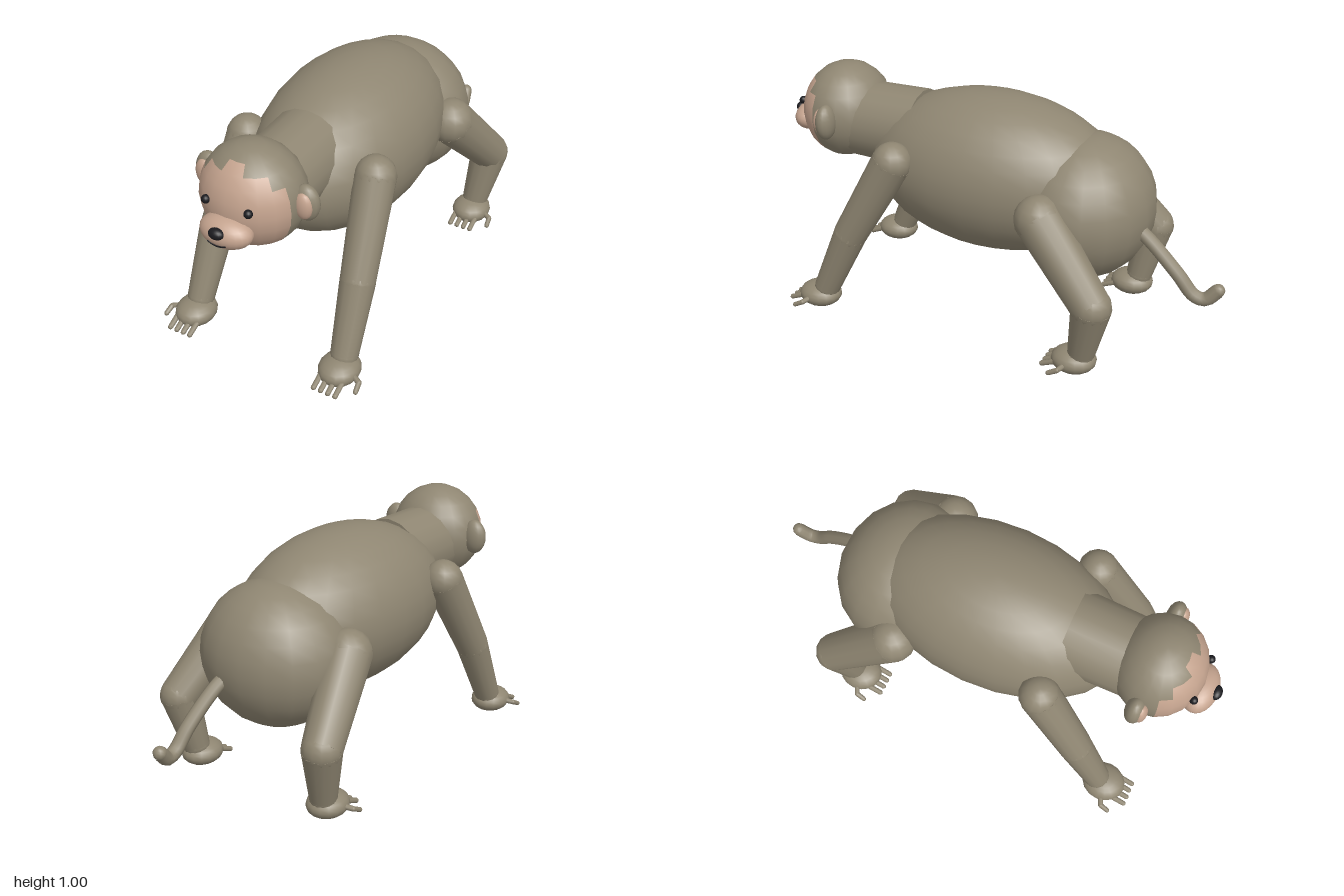
import * as THREE from 'three';

const mat = (name, color) => {
  const m = new THREE.MeshStandardMaterial({ color });
  m.name = name;
  return m;
};

export function createModel() {
  const fur = mat('fur', 0x8f8672);
  const skin = mat('skin', 0xc4a38e);
  const dark = mat('dark', 0x1b1b1f);
  const root = new THREE.Group();
  root.name = 'monkey';
  const V = (p) => new THREE.Vector3(...p);

  const add = (parent, name, geo, material) => {
    const mesh = new THREE.Mesh(geo, material);
    mesh.name = name;
    parent.add(mesh);
    return mesh;
  };
  const ball = (parent, name, pos, radii, material, w = 20, h = 14) => {
    const mesh = add(parent, name, new THREE.SphereGeometry(1, w, h), material);
    mesh.position.set(...pos);
    mesh.scale.set(...radii);
    return mesh;
  };
  // Tapered cylinder from point a to point b
  const limb = (parent, name, a, b, ra, rb, sides = 14) => {
    const d = V(b).sub(V(a));
    const mesh = add(parent, name, new THREE.CylinderGeometry(rb, ra, d.length(), sides), fur);
    mesh.position.copy(V(a)).addScaledVector(d, 0.5);
    mesh.quaternion.setFromUnitVectors(new THREE.Vector3(0, 1, 0), d.normalize());
    return mesh;
  };

  // Trunk
  ball(root, 'torso', [0, 0.652, 0.03], [0.335, 0.334, 0.56], fur, 24, 16);
  ball(root, 'pelvis', [0, 0.572, -0.38], [0.32, 0.3, 0.288], fur, 18, 14);
  limb(root, 'neck', [0, 0.765, 0.36], [0, 0.765, 0.68], 0.172, 0.165, 18);

  // Head: cells at the front of the sphere take the skin colour
  const head = new THREE.Group();
  head.name = 'head';
  root.add(head);
  const skull = ball(head, 'skull', [0, 0.8, 0.735], [0.208, 0.208, 0.187], [fur, skin], 20, 12);
  const halfWidth = [0, 0, 18, 54, 72, 72, 72, 72, 72, 72, 72, 0]; // degrees per row
  const geo = skull.geometry, pos = geo.attributes.position, lists = [[], []];
  for (let i = 0; i < geo.index.count; i += 3) {
    const tri = [0, 1, 2].map((k) => geo.index.getX(i + k));
    const c = new THREE.Vector3();
    tri.forEach((v) => c.add(new THREE.Vector3().fromBufferAttribute(pos, v)));
    c.normalize();
    const row = Math.min(11, Math.floor(Math.acos(c.y) / (Math.PI / 12)));
    const lon = THREE.MathUtils.radToDeg(Math.abs(Math.atan2(c.x, c.z)));
    lists[lon < halfWidth[row] ? 1 : 0].push(...tri);
  }
  geo.setIndex([...lists[0], ...lists[1]]);
  geo.addGroup(0, lists[0].length, 0);
  geo.addGroup(lists[0].length, lists[1].length, 1);

  // Face
  ball(head, 'muzzle', [0, 0.738, 0.915], [0.108, 0.062, 0.072], skin, 24, 16);
  ball(head, 'nose', [0, 0.763, 0.977], [0.032, 0.022, 0.023], dark, 16, 12);
  const smile = new THREE.QuadraticBezierCurve3(
    V([-0.04, 0.72, 0.977]), V([0, 0.704, 0.984]), V([0.04, 0.72, 0.977]));
  add(head, 'mouth', new THREE.TubeGeometry(smile, 12, 0.004, 6), dark);
  for (const s of [1, -1]) {
    ball(head, 'eye', [s * 0.091, 0.836, 0.905], [0.017, 0.017, 0.017], dark, 14, 10);
    ball(head, 'ear', [s * 0.212, 0.811, 0.715], [0.055, 0.076, 0.04], fur, 16, 12);
    ball(head, 'innerEar', [s * 0.215, 0.811, 0.74], [0.038, 0.056, 0.026], skin, 16, 12);
  }

  // Hand or foot with four fingers and a bent thumb
  const paw = (parent, name, s, x, z) => {
    const g = new THREE.Group();
    g.name = name;
    parent.add(g);
    ball(g, 'palm', [s * x, 0.056, z], [0.084, 0.053, 0.094], fur, 16, 12);
    for (const dx of [-0.048, -0.016, 0.016, 0.048]) {
      const tip = [s * x + dx, 0.028, z + 0.118];
      limb(g, 'finger', [s * x + dx, 0.062, z + 0.04], tip, 0.012, 0.011, 8);
      ball(g, 'fingertip', tip, [0.011, 0.011, 0.011], fur, 8, 6);
    }
    const knuckle = [s * (x + 0.103), 0.052, z + 0.03];
    const tip = [s * (x + 0.108), 0.034, z + 0.065];
    limb(g, 'thumb', [s * (x + 0.06), 0.06, z + 0.01], knuckle, 0.012, 0.011, 8);
    ball(g, 'thumbKnuckle', knuckle, [0.011, 0.011, 0.011], fur, 8, 6);
    limb(g, 'thumbEnd', knuckle, tip, 0.011, 0.01, 8);
    ball(g, 'thumbTip', tip, [0.01, 0.01, 0.01], fur, 8, 6);
  };

  // Two-segment limb with rounded joints
  const leg = (name, s, joints, radii, pawName, pawX, pawZ) => {
    const g = new THREE.Group();
    g.name = name;
    root.add(g);
    const pts = joints.map(([x, y, z]) => [s * x, y, z]);
    pts.forEach((p, i) => {
      ball(g, 'joint', p, [radii[i], radii[i], radii[i]], fur, 14, 10);
      if (i) limb(g, i === 1 ? 'upper' : 'lower', pts[i - 1], p, radii[i - 1], radii[i]);
    });
    paw(g, pawName, s, pawX, pawZ);
  };
  for (const s of [1, -1]) {
    leg('arm', s, [[0.293, 0.733, 0.352], [0.33, 0.375, 0.55], [0.342, 0.1, 0.675]],
      [0.084, 0.071, 0.056], 'hand', 0.342, 0.713);
    leg('leg', s, [[0.295, 0.618, -0.3], [0.378, 0.335, -0.562], [0.345, 0.1, -0.515]],
      [0.1, 0.082, 0.057], 'foot', 0.342, -0.483);
  }

  // Tail, hooked up at the end
  const tailCurve = new THREE.CatmullRomCurve3([
    [0.045, 0.55, -0.6], [0.06, 0.5, -0.68], [0.077, 0.385, -0.81],
    [0.08, 0.31, -0.88], [0.075, 0.3, -0.925], [0.064, 0.345, -0.972],
  ].map(V));
  add(root, 'tail', new THREE.TubeGeometry(tailCurve, 28, 0.029, 10), fur);
  ball(root, 'tailTip', [0.064, 0.345, -0.972], [0.028, 0.028, 0.028], fur, 10, 8);

  return root;
}
